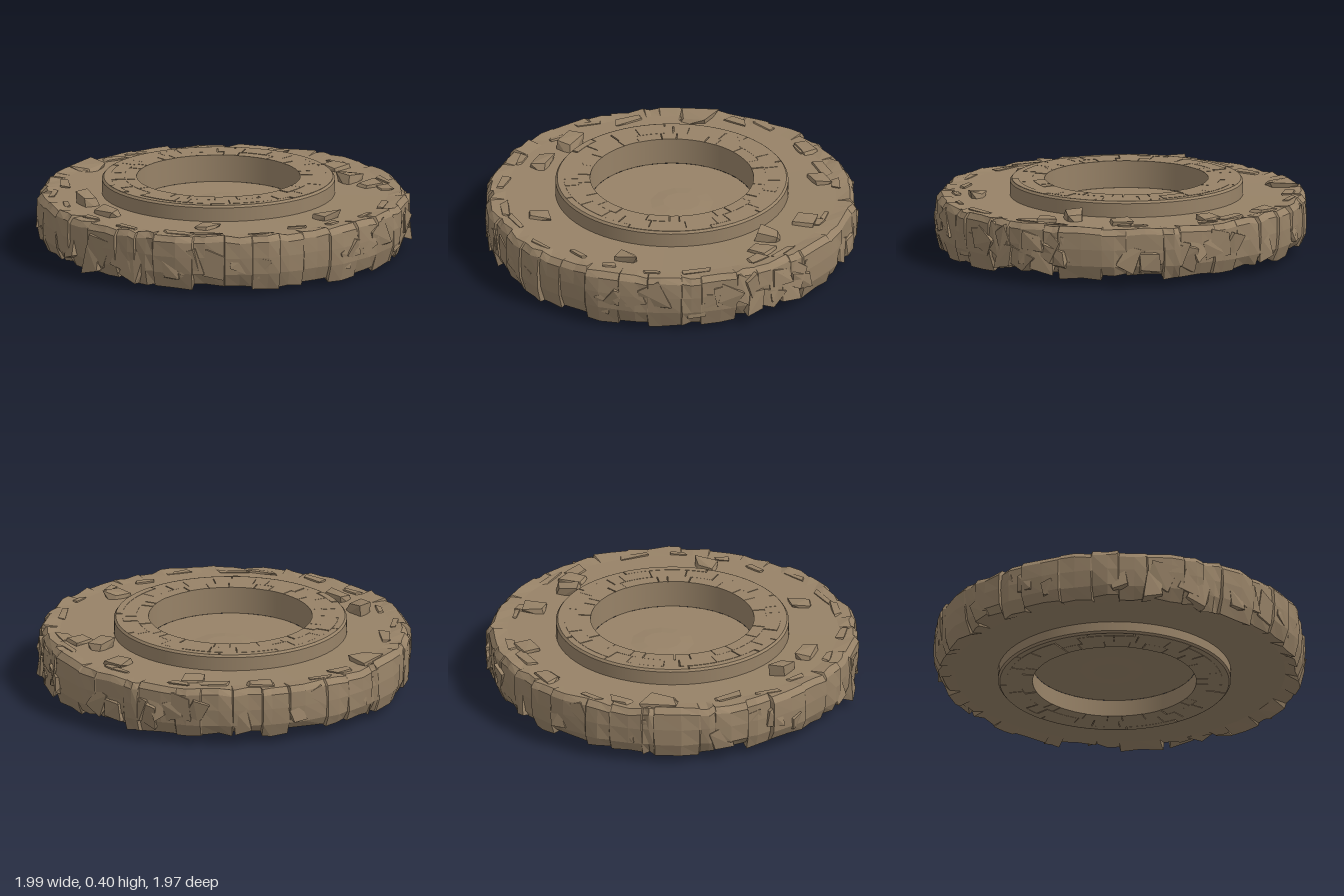
import * as THREE from 'three';
import { ConvexGeometry } from 'three/addons/geometries/ConvexGeometry.js';

const stone = new THREE.MeshStandardMaterial({ color: 0x978267, flatShading: true });
stone.name = 'weathered sandstone';
const smoothStone = new THREE.MeshStandardMaterial({ color: 0x978267 });
smoothStone.name = 'dressed sandstone';

// Small seeded generator: rnd(a, b) gives a value between a and b
function seeded(seed) {
  let s = seed;
  return (a = 0, b = 1) => {
    s = (s * 1664525 + 1013904223) % 4294967296;
    return a + (b - a) * (s / 4294967296);
  };
}

function lathe(points, segments) {
  return new THREE.LatheGeometry(points.map(([r, y]) => new THREE.Vector2(r, y)), segments);
}

function add(parent, name, geometry, material = stone) {
  const mesh = new THREE.Mesh(geometry, material);
  mesh.name = name;
  parent.add(mesh);
  return mesh;
}

// Main disc whose rim is broken into uneven blocks, three columns of points to each block
function discGeometry(rnd) {
  const blocks = 38;
  const profile = [[0.56, 0.066], [0.88, 0.066], [0.95, 0.062], [0.978, 0.12],
    [0.984, 0.21], [0.98, 0.29], [0.955, 0.32], [0.88, 0.317], [0.56, 0.312]];
  const n = profile.length;
  const columns = blocks * 3;
  const geometry = lathe(profile, columns);
  const pos = geometry.attributes.position;
  const step = (Math.PI * 2) / blocks;
  const cuts = Array.from({ length: blocks }, (_, i) => (i + rnd(-0.35, 0.35)) * step);
  cuts.push(cuts[0] + Math.PI * 2);
  const rim = [];
  for (let b = 0; b < blocks; b++) {
    const depth = rnd(-0.014, 0.008);
    const drop = rnd(-0.018, 0.015);
    for (const t of [0.02, rnd(0.35, 0.65), 0.98]) {
      rim.push({
        angle: cuts[b] + (cuts[b + 1] - cuts[b]) * t,
        depth: depth + rnd(-0.006, 0.006),
        drop: drop + rnd(-0.008, 0.008),
        lean: rnd(-0.006, 0.006),
        rise: rnd(-0.006, 0.01),
      });
    }
  }
  for (let i = 0; i <= columns; i++) {
    const c = rim[i % columns];
    for (let j = 0; j < n; j++) {
      const onRim = j >= 2 && j <= 6;
      let [r, y] = profile[j];
      if (onRim) r = Math.min(0.995, r + c.depth + c.lean * (j - 4));
      // The lower edge hangs further down at the front
      if (j === 2) y += c.drop - 0.03 * Math.max(0, Math.cos(c.angle)) ** 2;
      if (j === 5 || j === 6) y += c.rise;
      pos.setXYZ(i * n + j, Math.sin(c.angle) * r, y, Math.cos(c.angle) * r);
    }
  }
  return geometry;
}

// Angular lump of stone inside a box of the given half sizes
function rockGeometry(rnd, hx, hy, hz) {
  const points = [];
  for (const x of [-1, 1]) for (const y of [-1, 1]) for (const z of [-1, 1]) {
    points.push(new THREE.Vector3(x * hx * rnd(0.45, 1), y * hy * rnd(0.45, 1), z * hz * rnd(0.45, 1)));
  }
  return new ConvexGeometry(points);
}

// Curved paving stone: a sector of a ring, extruded upwards from y = 0
function sectorGeometry(r0, r1, a0, a1, height) {
  const shape = new THREE.Shape();
  shape.absarc(0, 0, r1, a0, a1, false);
  shape.absarc(0, 0, r0, a1, a0, true);
  const geometry = new THREE.ExtrudeGeometry(shape, { depth: height, bevelEnabled: false, curveSegments: 6 });
  return geometry.rotateX(-Math.PI / 2);
}

// One face of the hub ring: courses of sectors separated by thin cracks
function hubFacing(name, rnd) {
  const group = new THREE.Group();
  group.name = name;
  for (const [r0, r1, count] of [[0.435, 0.5, 24], [0.5, 0.575, 22], [0.575, 0.61, 9]]) {
    const step = (Math.PI * 2) / count;
    const cuts = Array.from({ length: count }, (_, i) => (i + rnd(-0.35, 0.35)) * step);
    cuts.push(cuts[0] + Math.PI * 2);
    for (let i = 0; i < count; i++) {
      const gap = rnd(0.003, 0.014);
      add(group, 'hubStone', sectorGeometry(r0, r1, cuts[i], cuts[i + 1] - gap, rnd(0.024, 0.027)));
    }
  }
  return group;
}

export function createModel() {
  const model = new THREE.Group();
  model.name = 'stoneWheel';
  const rnd = seeded(77);

  add(model, 'disc', discGeometry(rnd));

  // Hub ring with a shallow dished recess on each side
  const hub = new THREE.Group();
  hub.name = 'hub';
  hub.position.set(-0.013, 0, -0.028);
  model.add(hub);
  const walls = [[[0.61, 0.004], [0.62, 0.015]], [[0.62, 0.015], [0.62, 0.388]],
    [[0.62, 0.388], [0.61, 0.4]], [[0.61, 0.4], [0.61, 0.375]], [[0.61, 0.375], [0.435, 0.375]],
    [[0.435, 0.4], [0.435, 0.255]], [[0.435, 0.095], [0.435, 0.004]],
    [[0.435, 0.03], [0.61, 0.03]], [[0.61, 0.03], [0.61, 0.004]]];
  for (const wall of walls) add(hub, 'hubRing', lathe(wall, 72), smoothStone);
  add(hub, 'recessFloor', lathe([[0.435, 0.255], [0.22, 0.256], [0, 0.256]], 40), smoothStone);
  add(hub, 'recessCeiling', lathe([[0, 0.094], [0.22, 0.094], [0.435, 0.095]], 40), smoothStone);

  const topFacing = hubFacing('topFacing', rnd);
  topFacing.position.y = 0.375;
  const bottomFacing = hubFacing('bottomFacing', rnd);
  bottomFacing.rotation.x = Math.PI;
  bottomFacing.position.y = 0.03;
  hub.add(topFacing, bottomFacing);

  // Low worn swellings in the middle of both recesses
  for (const [y, flip] of [[0.258, 0], [0.092, Math.PI]]) {
    const swelling = add(hub, 'recessSwelling', new THREE.CylinderGeometry(0.1, 0.2, 0.01, 11));
    swelling.position.set(0.05, y, -0.02);
    swelling.rotation.x = flip;
  }

  // Broken facets wedged into the rim, in clusters: start angle, end angle, count
  for (const [from, to, count] of [[0.2, 0.55, 9], [0.75, 1.5, 15], [1.8, 2.5, 9], [2.7, 4.6, 9], [4.8, 6.2, 12]]) {
    for (let i = 0; i < count; i++) {
      const angle = from + ((to - from) * (i + rnd())) / count;
      const shard = add(model, 'rimShard', rockGeometry(rnd, rnd(0.05, 0.1), rnd(0.06, 0.1), 0.05));
      const r = rnd(0.935, 0.95);
      shard.position.set(Math.sin(angle) * r, rnd(0.13, 0.23), Math.cos(angle) * r);
      shard.rotation.set(rnd(-0.12, 0.12), angle + rnd(-0.15, 0.15), rnd(-0.5, 0.5), 'YXZ');
    }
  }

  // Loose chips on the upper face: x, z, half width, half height, half depth, turn
  const chips = [[-0.39, -0.78, 0.11, 0.03, 0.085, 0.4], [-0.75, -0.12, 0.055, 0.07, 0.085, 0.1],
    [-0.76, 0.12, 0.06, 0.045, 0.09, 0.2], [-0.42, 0.61, 0.07, 0.025, 0.05, 0.5],
    [0.23, 0.73, 0.085, 0.045, 0.055, 0.2], [0.71, 0.1, 0.08, 0.06, 0.065, 0.3],
    [0.77, -0.16, 0.07, 0.03, 0.08, 0.4], [0.76, 0.24, 0.08, 0.025, 0.06, 0.2],
    [0.55, -0.6, 0.075, 0.03, 0.06, -0.5], [0.28, -0.83, 0.1, 0.022, 0.05, -0.4]];
  for (const [x, z, hx, hy, hz, turn] of chips) {
    const chip = add(model, 'surfaceChip', rockGeometry(rnd, hx, hy, hz));
    chip.position.set(x, 0.314, z);
    chip.rotation.y = turn;
  }

  // Low flakes lying along the edge of the upper face
  for (let i = 0; i < 22; i++) {
    const angle = ((i + rnd(-0.4, 0.4)) / 22) * Math.PI * 2;
    const r = rnd(0.84, 0.92);
    const flake = add(model, 'edgeFlake', rockGeometry(rnd, rnd(0.05, 0.1), 0.012, rnd(0.015, 0.04)));
    flake.position.set(Math.sin(angle) * r, 0.316, Math.cos(angle) * r);
    flake.rotation.y = angle + rnd(-0.25, 0.25);
  }

  return model;
}
